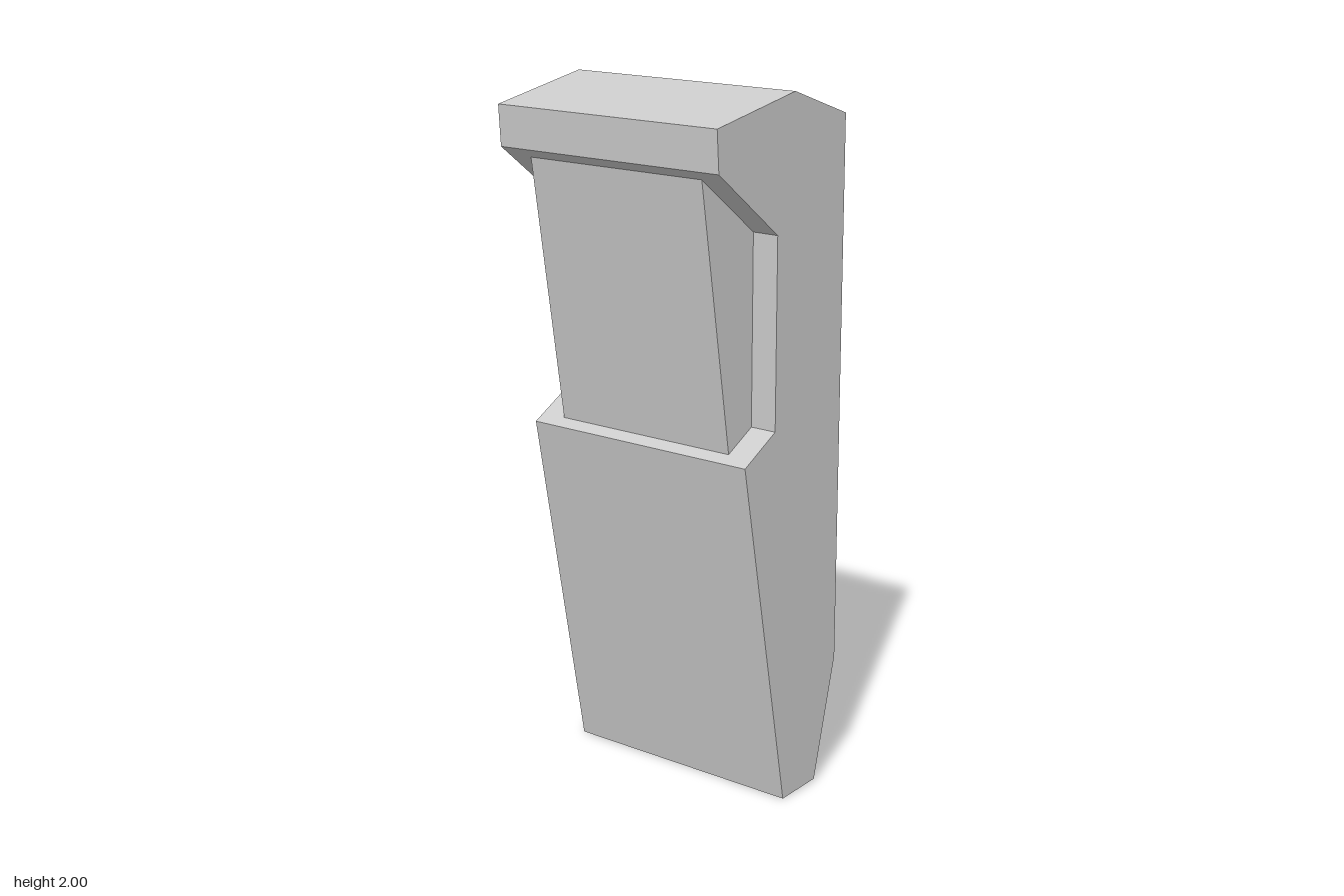
import * as THREE from 'three';

// Extrudes a side profile of [z, y] points across x, centred on x = 0
function sideExtrusion(name, profile, width, material) {
  const shape = new THREE.Shape(profile.map(([z, y]) => new THREE.Vector2(z, y)));
  const geometry = new THREE.ExtrudeGeometry(shape, { depth: width, bevelEnabled: false });
  geometry.translate(0, 0, -width / 2);
  geometry.rotateY(-Math.PI / 2);
  const mesh = new THREE.Mesh(geometry, material);
  mesh.name = name;
  return mesh;
}

export function createModel() {
  const group = new THREE.Group();
  group.name = 'notchedPillar';
  const material = new THREE.MeshStandardMaterial({ color: 0xcccccc, flatShading: true });

  // Tapered body with an overhanging cap and a notch in its front
  group.add(sideExtrusion('body', [
    [-0.04, 0], [0.152, 1.022], [0.02, 1.095], [0.02, 1.63], [0.272, 1.822],
    [0.28, 1.938], [-0.05, 2], [-0.28, 1.92], [-0.28, 0.36], [-0.19, 0.008],
  ], 0.75, material));

  // Narrower sloping panel filling the notch, its back sunk into the body
  group.add(sideExtrusion('frontPanel', [
    [0.12, 1.04], [0.24, 1.797], [0.02, 1.63], [-0.02, 1.63], [-0.02, 1.095], [0.02, 1.095],
  ], 0.59, material));

  return group;
}
